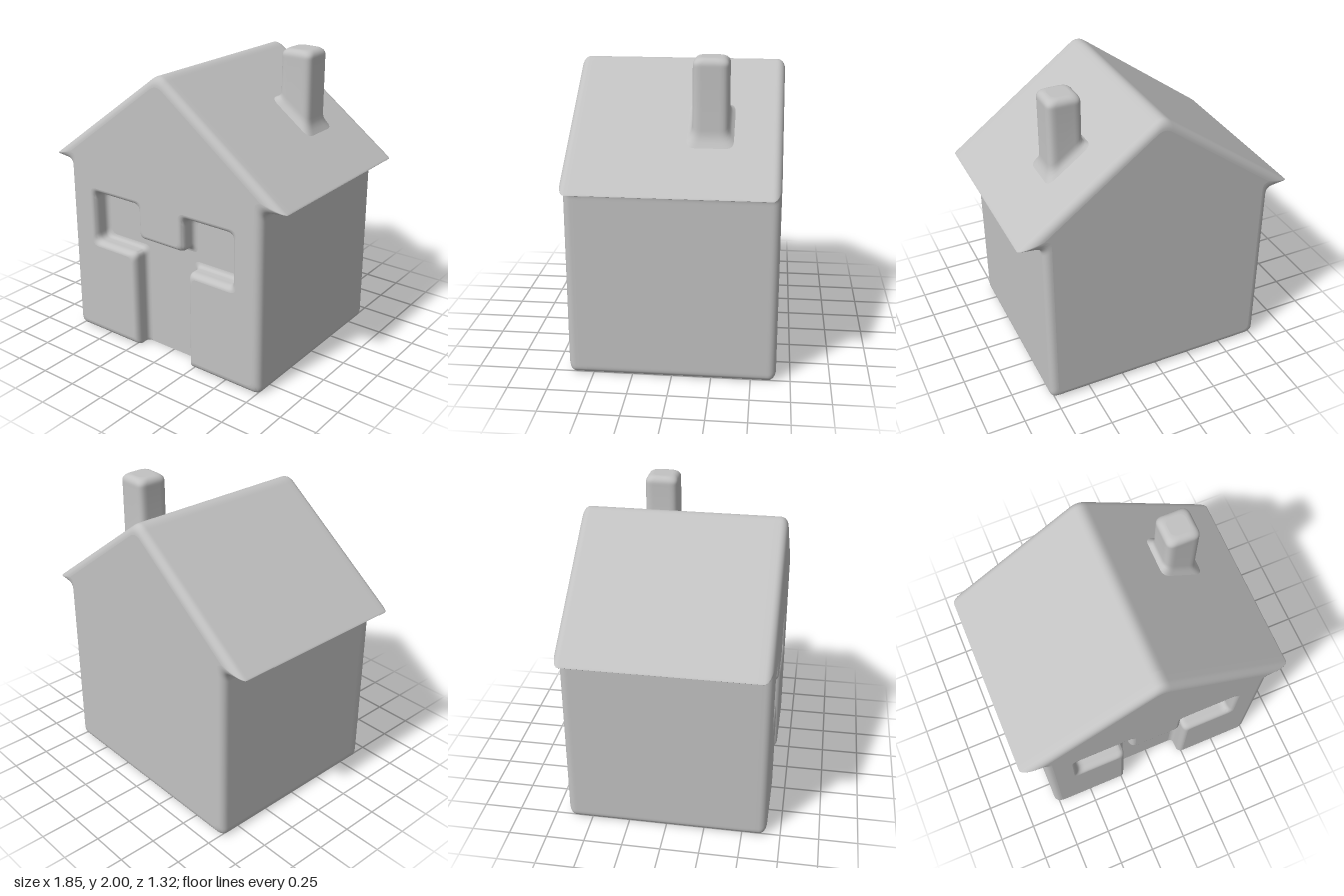
import * as THREE from 'three';
import { toCreasedNormals } from 'three/addons/utils/BufferGeometryUtils.js';

const DEPTH = 0.66, BEVEL = 0.05, RECESS_Z = 0.54;
const roofY = (x) => 1.926 - 0.737 * Math.abs(x);

// Round each corner [x, y, radius] of a polygon, always with the same point count
function roundLoop(corners, seg = 6) {
  const out = [];
  const n = corners.length;
  corners.forEach(([x, y, r], i) => {
    const c = new THREE.Vector2(x, y);
    const towards = (k) => {
      const d = new THREE.Vector2(corners[k][0], corners[k][1]).sub(c);
      const len = d.length();
      const reach = Math.min(r, len * 0.45);
      const step = Math.min(0.01, len * 0.04);
      d.normalize();
      return [c.clone().addScaledVector(d, reach), c.clone().addScaledVector(d, reach + step)];
    };
    const [a, aSupport] = towards((i + n - 1) % n);
    const [b, bSupport] = towards((i + 1) % n);
    const curve = new THREE.QuadraticBezierCurve(a, c, b);
    out.push(aSupport, ...curve.getPoints(seg), bSupport);
  });
  return out;
}

// Gable outline inset by t
function houseLoop(t, recess = null) {
  const half = [];
  // Joined door and window opening, widened by its own offset
  if (recess !== null) {
    const u = recess;
    half.push(
      [0.185 - u, 0.81 + u, 0.035],
      [0.185 - u, 1.04 + u, 0.05],
      [0.565 + u, 1.04 + u, 0.05],
      [0.565 + u, 0.69 - u, 0.05],
      [0.22 + u, 0.69 - u, 0.04],
      [0.22 + u, t, 0.015],
    );
  }
  half.push(
    [0.775 - t, t, 0.045],
    [0.775 - t, 1.225 + t, 0.05],
    [0.93 - 3.2 * t, 1.24 + t, 0.008],
  );
  const mirrored = half.map(([x, y, r]) => [-x, y, r]).reverse();
  return roundLoop([...half, [0, 1.926 - 1.24 * t, 0.06], ...mirrored]);
}

// Join successive loops of 3D points into a smooth skin
function skin(loops) {
  const pos = [];
  for (let k = 0; k + 1 < loops.length; k++) {
    const lo = loops[k], hi = loops[k + 1];
    for (let i = 0; i < lo.length; i++) {
      const j = (i + 1) % lo.length;
      for (const p of [lo[i], lo[j], hi[j], lo[i], hi[j], hi[i]]) pos.push(p.x, p.y, p.z);
    }
  }
  const geo = new THREE.BufferGeometry();
  geo.setAttribute('position', new THREE.Float32BufferAttribute(pos, 3));
  return toCreasedNormals(geo, 0.75);
}

const atZ = (loop, z) => loop.map((p) => new THREE.Vector3(p.x, p.y, z));
const cap = (loop) => new THREE.ShapeGeometry(new THREE.Shape(loop));

// Quarter-round steps: inset and distance below the end face
function roundSteps(r, n = 7) {
  return Array.from({ length: n + 1 }, (_, i) => {
    const a = (i / n) * Math.PI / 2;
    return { inset: r * (1 - Math.cos(a)), drop: r * (1 - Math.sin(a)) };
  });
}

export function createModel() {
  const model = new THREE.Group();
  model.name = 'house';
  const grey = new THREE.MeshStandardMaterial({ color: 0xc2c2c2 });
  grey.name = 'plain grey';

  const group = (name, ...geometries) => {
    const g = new THREE.Group();
    g.name = name;
    geometries.forEach((geo, i) => {
      const mesh = new THREE.Mesh(geo, grey);
      mesh.name = i ? name + 'Face' + i : name;
      g.add(mesh);
    });
    model.add(g);
  };

  // Main body with roof and rounded back, up to the floor of the recess
  const steps = roundSteps(BEVEL);
  const bodyLoops = [...steps].reverse().map((s) => atZ(houseLoop(s.inset), -DEPTH + s.drop));
  bodyLoops.push(atZ(houseLoop(0), -DEPTH + BEVEL + 0.01), atZ(houseLoop(0), RECESS_Z));
  group('houseBody', skin(bodyLoops),
    cap(houseLoop(BEVEL)).rotateY(Math.PI).translate(0, 0, -DEPTH),
    cap(houseLoop(0)).translate(0, 0, RECESS_Z));

  // Front wall layer with the opening, filleted where it meets the recess floor
  const frontLoops = roundSteps(0.03, 4).reverse()
    .map((s) => atZ(houseLoop(0, -s.drop), RECESS_Z + s.inset));
  frontLoops.sort((a, b) => a[0].z - b[0].z);
  steps.forEach((s) => frontLoops.push(atZ(houseLoop(s.inset, s.inset * 0.7), DEPTH - s.drop)));
  group('frontWall', skin(frontLoops),
    cap(houseLoop(BEVEL, BEVEL * 0.7)).translate(0, 0, DEPTH));

  // Chimney flaring softly into the roof slope
  const cx = 0.48, cz = -0.22, top = 2;
  const square = (h, r = 0.05) => roundLoop([[h, -h, r], [h, h, r], [-h, h, r], [-h, -h, r]]);
  const place = (loop, height) => loop.map((p) =>
    new THREE.Vector3(cx + p.x, height(cx + p.x), cz - p.y));
  const flare = [[0.04, -0.008], [0.028, 0.005], [0.016, 0.018], [0.007, 0.034], [0.002, 0.052], [0, 0.075]];
  const chimneyLoops = flare.map(([grow, h]) => place(square(0.11 + grow), (x) => roofY(x) + h));
  chimneyLoops.push(place(square(0.11), () => top - 0.055));
  roundSteps(0.045).forEach((s) =>
    chimneyLoops.push(place(square(0.11 - s.inset), () => top - s.drop)));
  group('chimney', skin(chimneyLoops),
    cap(square(0.11 - 0.045)).rotateX(-Math.PI / 2).translate(cx, top, cz));

  return model;
}
